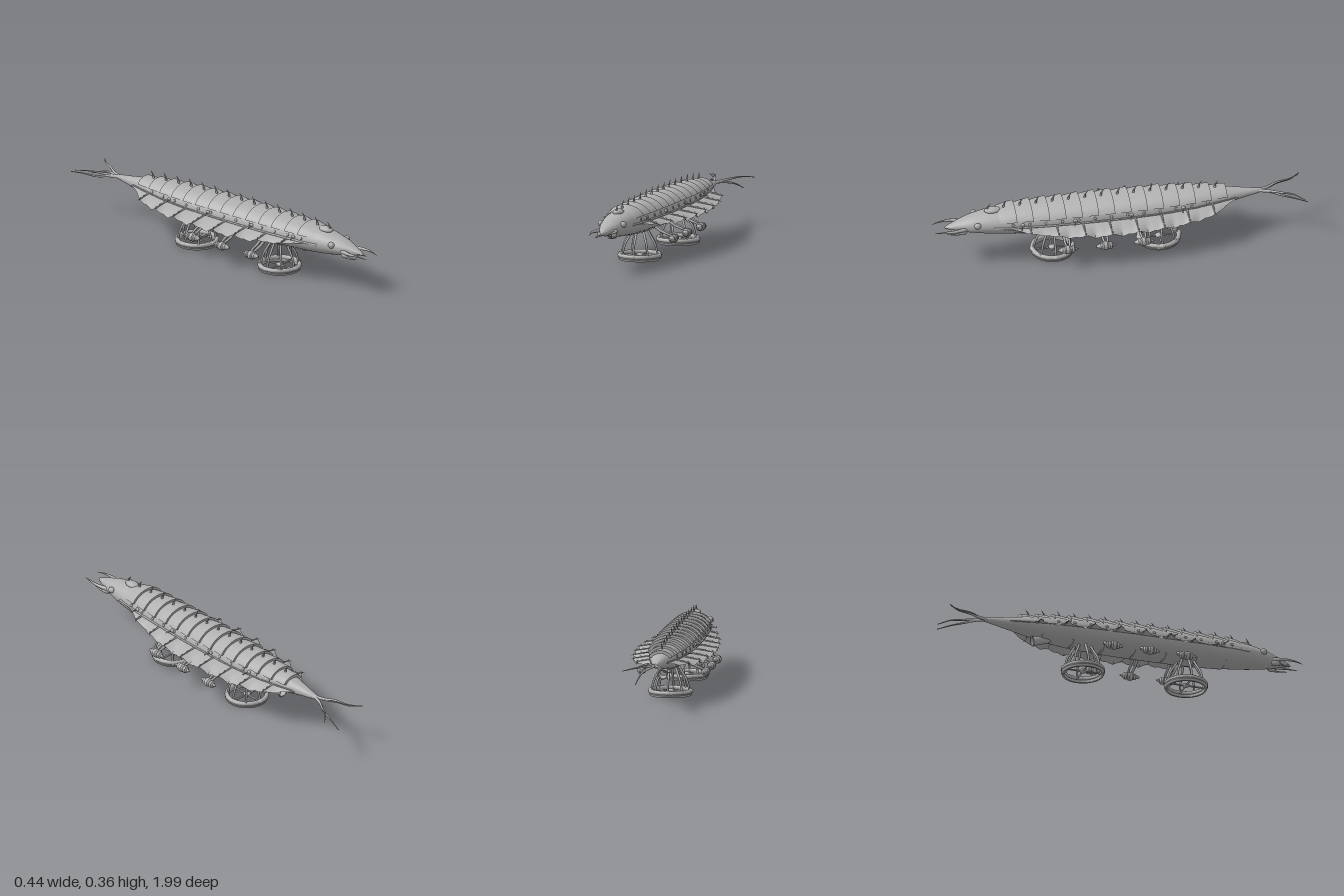
import * as THREE from 'three';
import { toCreasedNormals } from 'three/addons/utils/BufferGeometryUtils.js';

const V = (x, y, z) => new THREE.Vector3(x, y, z);

// Hull stations: z, half width, bottom y, top y
const STATIONS = [
  [0.925, 0.008, 0.213, 0.228], [0.88, 0.028, 0.203, 0.247], [0.8, 0.058, 0.187, 0.275],
  [0.7, 0.08, 0.172, 0.296], [0.6, 0.093, 0.162, 0.306], [0.4, 0.105, 0.151, 0.31],
  [0.1, 0.11, 0.147, 0.311], [-0.2, 0.105, 0.15, 0.306], [-0.4, 0.086, 0.165, 0.296],
  [-0.55, 0.058, 0.19, 0.28], [-0.65, 0.034, 0.208, 0.265], [-0.76, 0.011, 0.228, 0.25],
];

function mixTable(table, z) {
  let i = 0;
  while (i < table.length - 2 && z < table[i + 1][0]) i++;
  const a = table[i], b = table[i + 1];
  const t = THREE.MathUtils.clamp((a[0] - z) / (a[0] - b[0]), 0, 1);
  return a.map((n, k) => n + (b[k] - n) * t);
}

// Point on the hull at a station and angle, pushed out by an offset
function hullPoint(z, angle, offset = 0) {
  const [, w, low, high] = mixTable(STATIONS, z);
  return V((w + offset) * Math.cos(angle),
    (low + high) / 2 + ((high - low) / 2 + offset) * Math.sin(angle), z);
}

// Grid surface from a rule f(i, j)
function loft(nu, nv, f, crease = 0.7) {
  const pos = [], idx = [];
  for (let i = 0; i <= nu; i++) for (let j = 0; j <= nv; j++) pos.push(...f(i, j).toArray());
  for (let i = 0; i < nu; i++) for (let j = 0; j < nv; j++) {
    const a = i * (nv + 1) + j, b = a + nv + 1;
    idx.push(a, b, b + 1, a, b + 1, a + 1);
  }
  const g = new THREE.BufferGeometry();
  g.setAttribute('position', new THREE.Float32BufferAttribute(pos, 3));
  g.setIndex(idx);
  return toCreasedNormals(g, crease);
}

// Tube along points whose radius runs from r0 to r1
function taper(points, r0, r1, n = 12, sides = 8) {
  const curve = new THREE.CatmullRomCurve3(points);
  const g = new THREE.TubeGeometry(curve, n, r0, sides);
  const p = g.attributes.position, v = V(0, 0, 0);
  for (let k = 0; k < p.count; k++) {
    const t = Math.floor(k / (sides + 1)) / n;
    const c = curve.getPointAt(t);
    v.fromBufferAttribute(p, k).sub(c).multiplyScalar(1 + (r1 / r0 - 1) * t).add(c);
    p.setXYZ(k, v.x, v.y, v.z);
  }
  return g;
}

export function createModel() {
  const model = new THREE.Group();
  const grey = new THREE.MeshStandardMaterial({ color: 0xb0b0b0, side: THREE.DoubleSide });
  grey.name = 'plain grey';
  const add = (name, geometry, parent = model) => {
    const mesh = new THREE.Mesh(geometry, grey);
    mesh.name = name;
    parent.add(mesh);
    return mesh;
  };
  const ball = (name, p, sx, sy, sz, parent = model) => {
    const m = add(name, new THREE.SphereGeometry(1, 12, 8), parent);
    m.position.copy(p);
    m.scale.set(sx, sy, sz);
    return m;
  };

  // Hull
  add('hull', loft(56, 32, (i, j) => hullPoint(0.925 - 1.685 * i / 56, j / 32 * Math.PI * 2)));
  ball('noseTip', V(0, 0.22, 0.922), 0.009, 0.009, 0.008);

  // Overlapping back plates, each flared at its rear edge, with a spine
  const pitch = 0.087;
  for (let k = 0; k < 14; k++) {
    const z0 = 0.65 - k * pitch, z1 = z0 - pitch - 0.003;
    const rows = [[z0, 0.002], [(z0 + z1) / 2, 0.009], [z1, 0.015], [z1, -0.002]];
    add('backPlate', loft(3, 24, (i, j) =>
      hullPoint(rows[i][0], 0.42 + (Math.PI - 0.84) * j / 24, rows[i][1])));
  }
  for (let k = 0; k < 15; k++) {
    const z = 0.7 - k * pitch, y = hullPoint(z, Math.PI / 2, 0.004).y;
    add('backSpine', taper([V(0, y, z + 0.004), V(0, y + 0.02, z), V(0, y + 0.042, z - 0.014)], 0.007, 0.0006, 5));
  }

  // Crest on the head
  ball('headCrest', V(0, 0.3, 0.675), 0.028, 0.016, 0.045);

  // Belly panels
  for (let k = 0; k < 6; k++) {
    const z0 = 0.56 - k * 0.17;
    const off = [0, 0.004, 0.004, 0];
    const zs = [z0, z0, z0 - 0.162, z0 - 0.162];
    add('bellyPanel', loft(3, 12, (i, j) => hullPoint(zs[i], -2.2 + 1.26 * j / 12, off[i])));
  }

  for (const s of [-1, 1]) {
    // Eyes and cheek lobes
    ball('eye', V(s * 0.064, 0.25, 0.765), 0.015, 0.017, 0.019);
    ball('cheek', V(s * 0.04, 0.205, 0.84), 0.013, 0.015, 0.025);

    // Mandibles
    add('upperMandible', taper([V(s * 0.04, 0.222, 0.82), V(s * 0.056, 0.224, 0.88),
      V(s * 0.053, 0.224, 0.94), V(s * 0.042, 0.217, 0.99)], 0.012, 0.001));
    add('lowerMandible', taper([V(s * 0.032, 0.202, 0.82), V(s * 0.042, 0.196, 0.87),
      V(s * 0.034, 0.198, 0.925)], 0.009, 0.001));

    // Side rail
    const rail = [0.68, 0.5, 0.3, 0.1, -0.1, -0.3, -0.5, -0.62].map((z) => {
      const p = hullPoint(z, 0);
      return V(s * p.x, p.y, z);
    });
    add('sideRail', taper(rail, 0.006, 0.004, 32, 6));

    // Portholes
    for (let k = 0; k < 13; k++) {
      const p = hullPoint(0.58 - k * pitch, 0.24, 0.001);
      ball('porthole', V(s * p.x, p.y, p.z), 0.005, 0.008, 0.008);
    }

    // Thin side rods with ball tips
    for (const z of [0.53, 0.25, -0.05, -0.33]) {
      const p = hullPoint(z, 0.2), tip = V(s * (p.x + 0.035), p.y - 0.004, z + 0.01);
      ball('rodMount', V(s * p.x, p.y, z), 0.009, 0.01, 0.011);
      add('sideRod', taper([V(s * p.x, p.y, z), tip], 0.003, 0.002, 2, 6));
      ball('rodTip', tip, 0.0035, 0.0035, 0.0035);
    }

    // Scalloped fin membrane, sagging between the ribs
    const edge = [[0.63, 0.092], [0.49, 0.145], [0.35, 0.178], [0.21, 0.2], [0.07, 0.211],
      [-0.07, 0.211], [-0.21, 0.2], [-0.35, 0.18], [-0.49, 0.142], [-0.63, 0.045]];
    const finPoint = (z, t) => {
      const root = hullPoint(z, -0.05, -0.004);
      const wave = Math.abs(Math.sin((0.63 - z) / 0.14 * Math.PI));
      const outer = Math.max(mixTable(edge, z)[1] - 0.013 * wave, root.x);
      const reach = Math.min(1, (outer - root.x) / 0.08);
      const ripple = 0.006 * Math.sin(z * 90) * wave;
      return V(s * (root.x + (outer - root.x) * t),
        root.y - reach * t * (0.016 + 0.026 * wave * t + ripple), z);
    };
    add('finMembrane', loft(72, 6, (i, j) => finPoint(0.63 - 1.26 * i / 72, s > 0 ? 1 - j / 6 : j / 6), 0.5));

    // Fin ribs with small barbs
    for (const [z] of edge.slice(1, -1)) {
      const pts = [0, 0.35, 0.7, 1].map((t) => finPoint(z, t).add(V(0, 0.002, 0)));
      pts.push(pts[3].clone().add(V(s * 0.008, -0.004, -0.008)));
      add('finRib', taper(pts, 0.006, 0.001, 10, 6));
      for (const t of [0.55, 0.9]) ball('ribBarb', finPoint(z, t).add(V(0, 0.004, 0)), 0.005, 0.006, 0.004);
    }

    // Hanging pods on curved arms
    const podProfile = [[0, -0.056], [0.004, -0.05], [0.009, -0.036], [0.018, -0.03], [0.02, -0.018],
      [0.017, -0.012], [0.023, -0.004], [0.023, 0.014], [0.017, 0.02], [0.017, 0.032],
      [0.01, 0.04], [0.006, 0.054], [0, 0.056]].map(([r, y]) => new THREE.Vector2(r, y));
    for (const z of [0.3, 0.098, -0.105]) {
      const pod = add('pod', toCreasedNormals(new THREE.LatheGeometry(podProfile, 14), 0.6));
      pod.rotation.x = Math.PI / 2;
      pod.position.set(s * 0.17, 0.112, z);
      for (const dz of [-0.012, 0.012]) {
        add('podArm', taper([V(s * 0.07, 0.17, z + dz), V(s * 0.105, 0.147, z + dz),
          V(s * 0.135, 0.136, z + dz), V(s * 0.168, 0.122, z + dz / 2)], 0.008, 0.006, 10));
      }
    }
  }

  // Landing rings: rim, base band, knobs, bent legs, spokes and hub
  for (const z of [0.355, -0.215]) {
    const gear = new THREE.Group();
    gear.name = 'landingGear';
    gear.position.z = z;
    model.add(gear);
    const rim = add('rim', new THREE.TorusGeometry(0.105, 0.012, 10, 40), gear);
    rim.rotation.x = Math.PI / 2;
    rim.position.y = 0.024;
    const band = [[0.098, 0.018], [0.1, 0], [0.11, 0], [0.115, 0.012], [0.113, 0.02]];
    add('baseBand', toCreasedNormals(
      new THREE.LatheGeometry(band.map(([r, y]) => new THREE.Vector2(r, y)), 40), 0.5), gear);
    ball('hub', V(0, 0.022, 0), 0.02, 0.012, 0.02, gear);
    for (let k = 0; k < 8; k++) {
      const a = k * Math.PI / 4, c = Math.cos(a), d = Math.sin(a);
      const at = (r, y) => V(r * c, y, r * d);
      add('leg', taper([at(0.1, 0.03), at(0.093, 0.06), at(0.083, 0.09), at(0.062, 0.125), at(0.04, 0.165)],
        0.0055, 0.007, 12, 8), gear);
      if (k % 2 === 0) {
        const knob = ball('knob', at(0.106, 0.025), 0.015, 0.012, 0.021, gear);
        knob.rotation.y = -a;
        add('spoke', taper([at(0, 0.02), at(0.1, 0.02)], 0.005, 0.005, 1, 6), gear);
      } else {
        ball('stud', at(0.105, 0.034), 0.007, 0.005, 0.007, gear);
      }
    }
  }

  // Open nozzle under the tail
  const nozzleShape = [[0.012, -0.055], [0.019, -0.03], [0.024, 0.045], [0.028, 0.047], [0.028, 0.053],
    [0.022, 0.053], [0.018, 0.02], [0, 0.02]].map(([r, y]) => new THREE.Vector2(r, y));
  const nozzle = add('tailNozzle', toCreasedNormals(new THREE.LatheGeometry(nozzleShape, 18), 0.5));
  nozzle.position.set(0, 0.164, -0.445);
  nozzle.rotation.x = -Math.PI / 2 - 0.22;

  // Tail tendrils
  const tendrils = [
    [V(-0.022, 0.237, -0.8), V(-0.06, 0.232, -0.86), V(-0.075, 0.235, -0.93), V(-0.112, 0.243, -0.985)],
    [V(-0.016, 0.243, -0.8), V(-0.04, 0.248, -0.85), V(-0.058, 0.248, -0.92), V(-0.092, 0.246, -0.975)],
    [V(0.018, 0.236, -0.8), V(0.047, 0.225, -0.86), V(0.06, 0.205, -0.93), V(0.068, 0.178, -0.998)],
    [V(0.022, 0.242, -0.8), V(0.058, 0.248, -0.86), V(0.09, 0.25, -0.92), V(0.14, 0.243, -0.97)],
  ];
  for (const pts of tendrils) {
    add('tailTendril', taper([V(0, 0.239, -0.73), ...pts], 0.009, 0.002, 24, 8));
    ball('tendrilTip', pts[3], 0.003, 0.003, 0.003);
  }
  return model;
}
